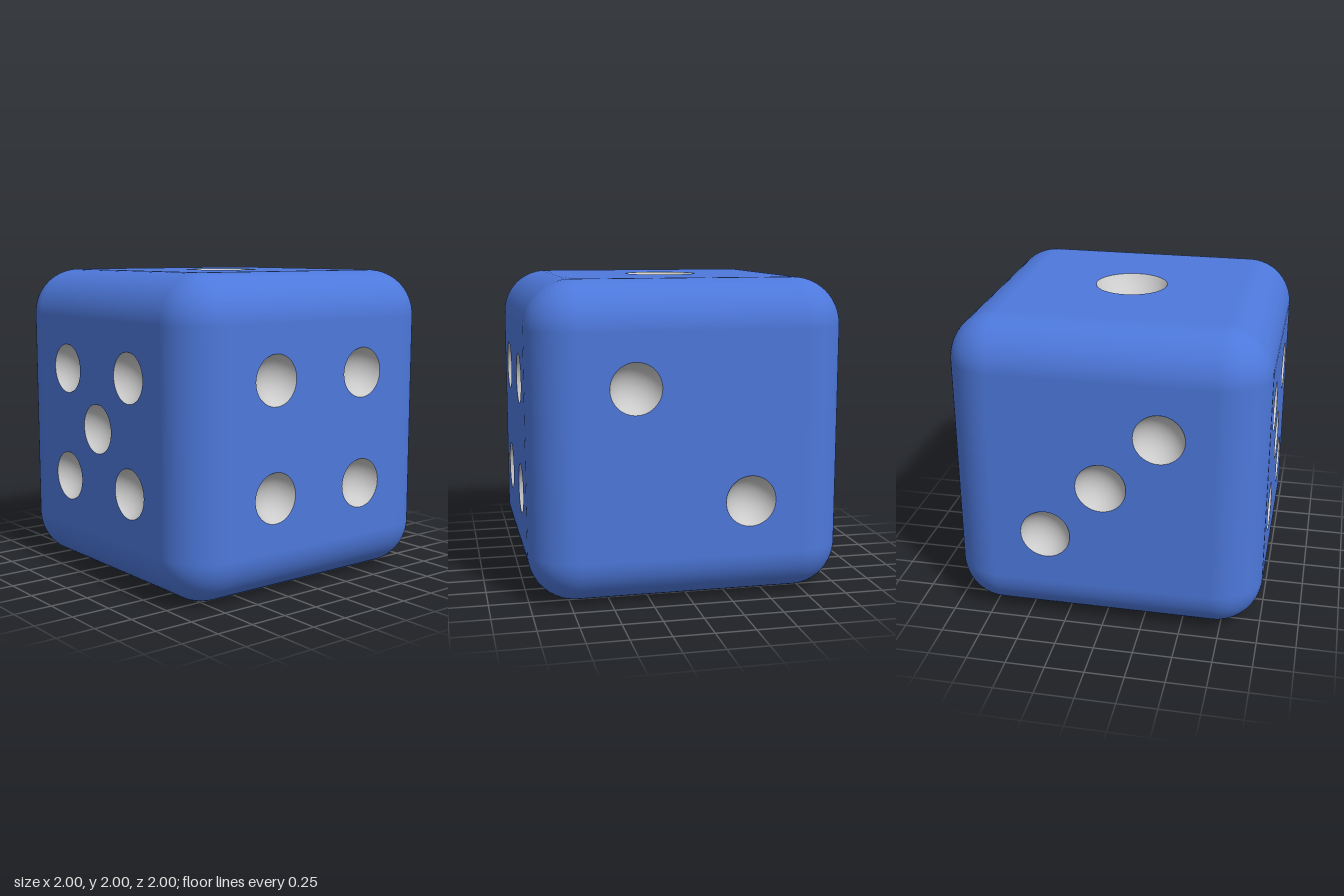
import * as THREE from 'three';
import { mergeGeometries } from 'three/addons/utils/BufferGeometryUtils.js';

const ROUND = 0.3;          // radius of edges and corners
const FLAT = 1 - ROUND;     // half width of each flat face
const Q = Math.PI / 2;
const P = 0.36;             // pip offset from the face centre

// Each face: rotation from +z, pip radius, pip depth, pip centres
const FACES = [
  { name: 'front', rot: [0, 0], r: 0.16, d: 0.105, pips: [[0, 0], [-P, P], [P, P], [-P, -P], [P, -P]] },
  { name: 'right', rot: [0, Q], r: 0.16, d: 0.105, pips: [[-P, P], [P, P], [-P, -P], [P, -P]] },
  { name: 'back', rot: [0, 2 * Q], r: 0.16, d: 0.105, pips: [[-P, P], [P, -P]] },
  { name: 'left', rot: [0, -Q], r: 0.16, d: 0.105, pips: [[0, 0], [P, P], [-P, -P]] },
  { name: 'top', rot: [-Q, 0], r: 0.233, d: 0.13, pips: [[0, 0]] },
  { name: 'bottom', rot: [Q, 0], r: 0.16, d: 0.105,
    pips: [-0.4, 0, 0.4].flatMap(x => [[x, -0.34], [x, 0.34]]) },
];

// Flat square with round openings, facing +z
function faceGeometry({ r, pips }) {
  const shape = new THREE.Shape([[-1, -1], [1, -1], [1, 1], [-1, 1]]
    .map(([x, y]) => new THREE.Vector2(x * FLAT, y * FLAT)));
  for (const [x, y] of pips) {
    shape.holes.push(new THREE.Path().absarc(x, y, r, 0, 2 * Math.PI, true));
  }
  return new THREE.ShapeGeometry(shape, 24).translate(0, 0, 1);
}

// Hollow spherical bowl whose rim lies on the face
function pipGeometry(r, d) {
  const R = (r * r + d * d) / (2 * d);
  const rim = Math.asin(r / R);
  const points = [];
  for (let i = 12; i >= 0; i--) {
    const a = rim * i / 12;
    points.push(new THREE.Vector2(R * Math.sin(a), R - d - R * Math.cos(a)));
  }
  return new THREE.LatheGeometry(points, 48).rotateX(Q);
}

// Twelve quarter-round edges and eight corner octants
function roundingGeometry() {
  const parts = [];
  for (let i = 0; i < 4; i++) {
    const edge = new THREE.CylinderGeometry(ROUND, ROUND, 2 * FLAT, 16, 1, true, 0, Q)
      .translate(FLAT, 0, FLAT).rotateY(i * Q);
    parts.push(edge, edge.clone().rotateX(Q), edge.clone().rotateZ(Q));
    const corner = new THREE.SphereGeometry(ROUND, 16, 16, Q, Q, 0, Q)
      .translate(FLAT, FLAT, FLAT).rotateY(i * Q);
    parts.push(corner, corner.clone().rotateX(Math.PI));
  }
  return parts;
}

export function createModel() {
  const model = new THREE.Group();
  model.name = 'die';
  const blue = new THREE.MeshStandardMaterial({ color: 0x4d78db });
  const grey = new THREE.MeshStandardMaterial({ color: 0xcccccc });

  // Body: rounded frame plus six pierced faces
  const bodyParts = roundingGeometry();
  for (const face of FACES) {
    const [rx, ry] = face.rot;
    bodyParts.push(faceGeometry(face).rotateX(rx).rotateY(ry));

    // Pips of this face
    const group = new THREE.Group();
    group.name = face.name + 'Pips';
    group.rotation.set(rx, ry, 0);
    group.position.y = 1;
    const geometry = pipGeometry(face.r, face.d);
    for (const [x, y] of face.pips) {
      const pip = new THREE.Mesh(geometry, grey);
      pip.name = 'pip';
      pip.position.set(x, y, 1);
      group.add(pip);
    }
    model.add(group);
  }
  const body = new THREE.Mesh(mergeGeometries(bodyParts), blue);
  body.name = 'body';
  body.position.y = 1;
  model.add(body);
  return model;
}
